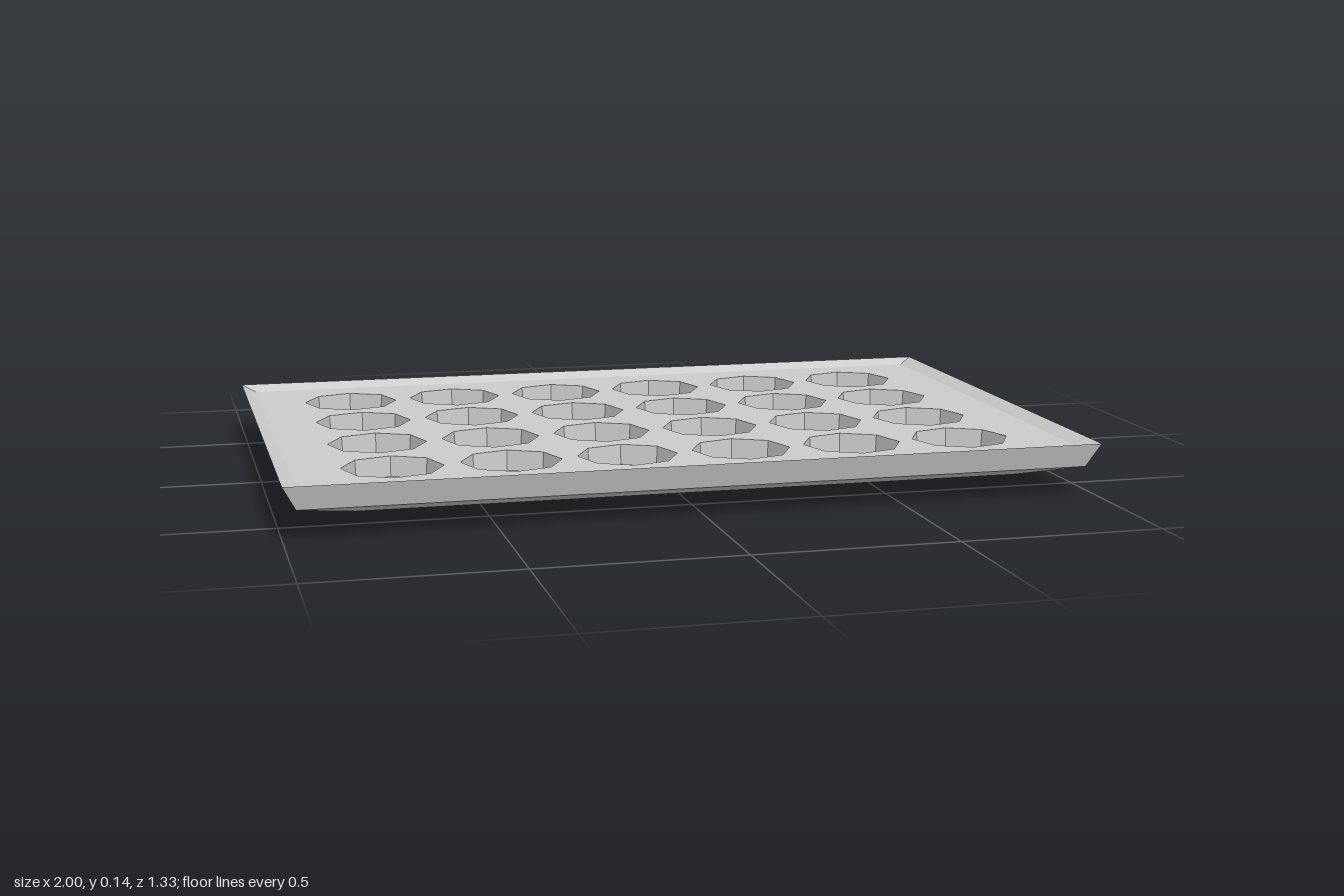
import * as THREE from 'three';

const DECK = 0.118, FLOOR = 0.068, RADIUS = 0.123, SIDES = 8, TURN = -0.09;

// Faceted skin through rectangular rings given as [halfX, halfZ, y]
function loftRectangles(rings) {
  const corners = [[1, 1], [1, -1], [-1, -1], [-1, 1]];
  const at = ([x, z, y], i) => {
    const [sx, sz] = corners[i % 4];
    return [x * sx, y, z * sz];
  };
  const pos = [];
  for (let r = 0; r < rings.length - 1; r++) {
    for (let i = 0; i < 4; i++) {
      const a = at(rings[r], i), b = at(rings[r], i + 1);
      const c = at(rings[r + 1], i + 1), d = at(rings[r + 1], i);
      pos.push(...a, ...d, ...c, ...a, ...c, ...b);
    }
  }
  const geo = new THREE.BufferGeometry();
  geo.setAttribute('position', new THREE.Float32BufferAttribute(pos, 3));
  geo.computeVertexNormals();
  return geo;
}

export function createModel() {
  const group = new THREE.Group();
  const grey = new THREE.MeshStandardMaterial({ color: 0xcccccc, flatShading: true });
  const inward = new THREE.MeshStandardMaterial({ color: 0xcccccc, flatShading: true, side: THREE.BackSide });
  const add = (name, geo, mat, parent = group) => {
    const mesh = new THREE.Mesh(geo, mat);
    mesh.name = name;
    parent.add(mesh);
    return mesh;
  };

  // Flared rim with a gentle inner bevel down to the deck
  add('rim', loftRectangles([
    [0.963, 0.637, DECK], [1, 0.667, 0.135], [0.968, 0.646, 0.075],
  ]), grey);

  // Shallow domed underside: [scale, height] of each ring
  const dome = [[1, 0.075], [0.85, 0.042], [0.66, 0.025], [0.46, 0.013], [0.22, 0.004], [0.05, 0]];
  add('underside', loftRectangles(dome.map(([s, y]) => [0.968 * s, 0.646 * s, y])), grey);
  const base = add('undersideCentre', new THREE.PlaneGeometry(0.0968, 0.0646), grey);
  base.rotation.x = Math.PI / 2;

  // Deck with a grid of octagonal openings
  const deck = new THREE.Shape([
    new THREE.Vector2(-0.963, -0.637), new THREE.Vector2(0.963, -0.637),
    new THREE.Vector2(0.963, 0.637), new THREE.Vector2(-0.963, 0.637),
  ]);
  const wallGeo = new THREE.CylinderGeometry(RADIUS, RADIUS - 0.004, DECK - FLOOR, SIDES, 1, true, TURN);
  const floorGeo = new THREE.CircleGeometry(RADIUS - 0.004, SIDES, TURN - Math.PI / 2);
  floorGeo.rotateX(-Math.PI / 2);

  for (let row = 0; row < 4; row++) {
    for (let col = 0; col < 6; col++) {
      const x = (col - 2.5) * 0.288, z = (row - 1.5) * 0.288;
      const opening = [];
      for (let i = 0; i < SIDES; i++) {
        const t = TURN + (i / SIDES) * Math.PI * 2;
        opening.push(new THREE.Vector2(x + RADIUS * Math.sin(t), -z - RADIUS * Math.cos(t)));
      }
      deck.holes.push(new THREE.Path(opening));

      // Recessed cup below each opening
      const cup = new THREE.Group();
      cup.name = 'cup';
      cup.position.set(x, 0, z);
      add('cupWall', wallGeo, inward, cup).position.y = (DECK + FLOOR) / 2;
      add('cupFloor', floorGeo, grey, cup).position.y = FLOOR;
      group.add(cup);
    }
  }
  const deckGeo = new THREE.ShapeGeometry(deck);
  deckGeo.rotateX(-Math.PI / 2);
  add('deck', deckGeo, grey).position.y = DECK;

  return group;
}
